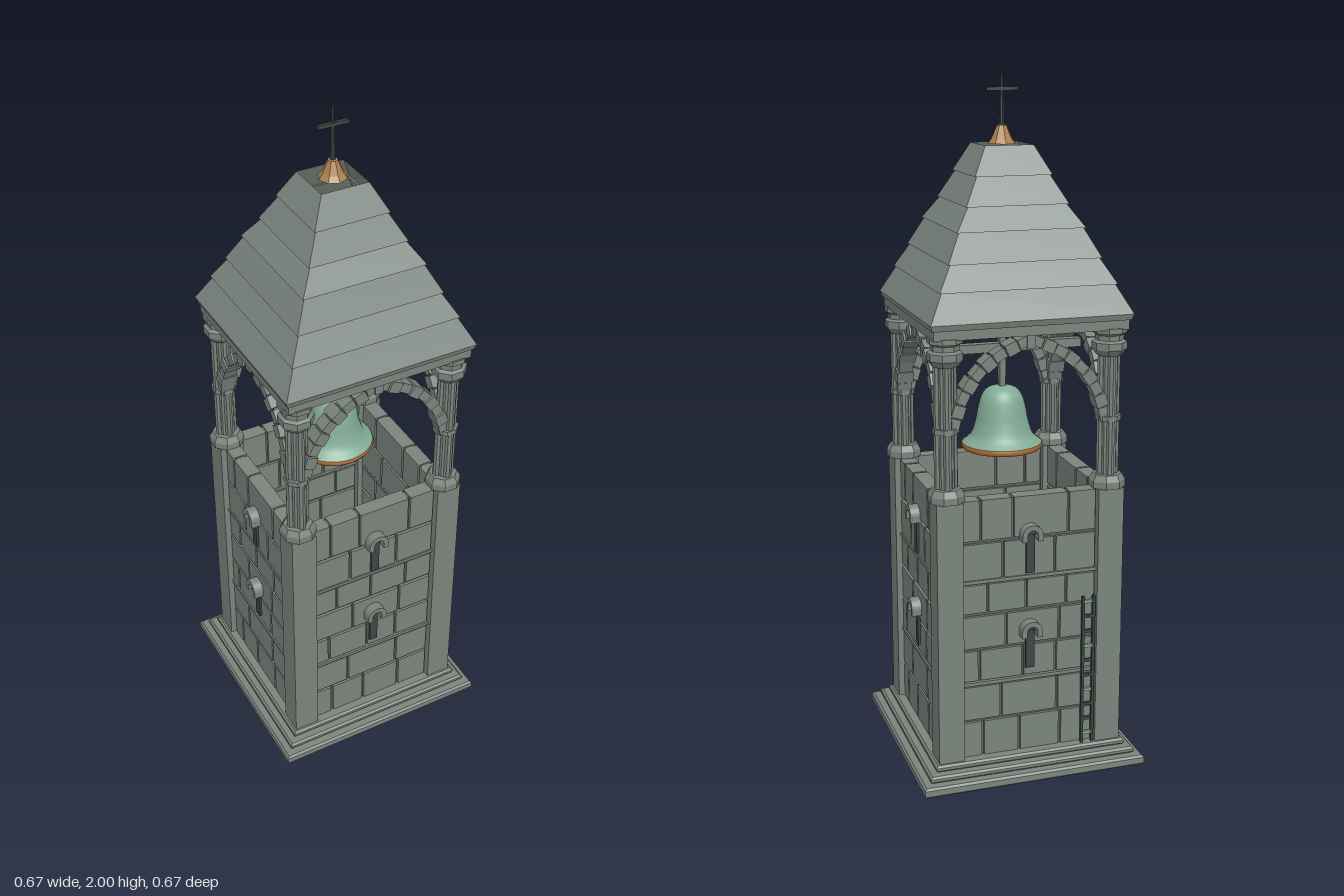
import * as THREE from 'three';

const mat = (name, color, extra = {}) => {
  const m = new THREE.MeshStandardMaterial({ color, ...extra });
  m.name = name;
  return m;
};

export function createModel() {
  const stone = mat('stone', 0x7b847d, { flatShading: true });
  const mortar = mat('mortar', 0x59625c, { flatShading: true });
  const slate = mat('roof slate', 0x7f8983, { flatShading: true, side: THREE.DoubleSide });
  const patina = mat('patina', 0x82ab97, { side: THREE.DoubleSide });
  const bronze = mat('bronze', 0xac8150, { flatShading: true });
  const rimCopper = mat('rim copper', 0xb0702f, { side: THREE.DoubleSide });
  const iron = mat('iron', 0x3d4543, { flatShading: true });

  const model = new THREE.Group();
  model.name = 'bellTower';

  const add = (parent, name, geo, material, x = 0, y = 0, z = 0) => {
    const m = new THREE.Mesh(geo, material);
    m.name = name;
    m.position.set(x, y, z);
    parent.add(m);
    return m;
  };
  // box given by its min and max corners
  const box = (parent, name, material, x0, x1, y0, y1, z0, z1) =>
    add(parent, name, new THREE.BoxGeometry(x1 - x0, y1 - y0, z1 - z0), material,
      (x0 + x1) / 2, (y0 + y1) / 2, (z0 + z1) / 2);
  const lathe = (pts, sides, phi = 0) =>
    new THREE.LatheGeometry(pts.map(([r, y]) => new THREE.Vector2(r, y)), sides, phi);
  // square-plan solid from [half width, y] points
  const square = (pts) => lathe(pts.map(([r, y]) => [r * Math.SQRT2, y]), 4, Math.PI / 4);
  const rod = (parent, name, material, r0, r1, y0, y1, x = 0, z = 0, sides = 8) =>
    add(parent, name, new THREE.CylinderGeometry(r1, r0, y1 - y0, sides), material, x, (y0 + y1) / 2, z);

  // stepped plinth with chamfered edges
  for (const [w, y0, y1] of [[0.335, 0, 0.03], [0.311, 0.03, 0.05], [0.288, 0.05, 0.07]]) {
    const b = 0.006;
    add(model, 'plinthStep', square([[0, y0], [w - b, y0], [w, y0 + b], [w, y1 - b], [w - b, y1], [0, y1]]), stone);
  }

  // masonry courses: [bottom, top, joint positions]
  const courses = [
    [0.07, 0.18, [-0.14, -0.03, 0.095]],
    [0.185, 0.29, [-0.085, 0.085]],
    [0.305, 0.4, [-0.15, -0.02, 0.08]],
    [0.405, 0.505, [-0.07, 0.09]],
    [0.512, 0.6, [-0.125, -0.01, 0.11]],
    [0.612, 0.722, [-0.08, 0.075]],
    [0.728, 0.85, [-0.145, -0.05, 0.115]],
  ];

  const half = 0.2, gap = 0.004;
  const hoodShape = new THREE.Shape();
  hoodShape.absarc(0, 0, 0.031, 0, Math.PI, false);
  hoodShape.absarc(0, 0, 0.016, Math.PI, 0, true);
  hoodShape.closePath();

  const makeSide = () => {
    const side = new THREE.Group();
    side.name = 'towerSide';
    // wall with raised blocks inside and out
    box(side, 'wallCore', mortar, -half, half, 0.07, 0.846, 0.222, 0.25);
    for (const [y0, y1, joints] of courses) {
      const edges = [-half, ...joints, half];
      for (let i = 0; i < edges.length - 1; i++) {
        box(side, 'wallBlock', stone, edges[i] + gap, edges[i + 1] - gap, y0 + 0.002, y1 - 0.002, 0.214, 0.259);
      }
    }
    for (const y of [0.293, 0.603]) box(side, 'stringCourse', stone, -half, half, y, y + 0.01, 0.214, 0.262);

    // arrow slits with hooded heads
    for (const y of [0.33, 0.62]) {
      box(side, 'slit', iron, -0.013, 0.013, y, y + 0.115, 0.259, 0.266);
      const hood = new THREE.ExtrudeGeometry(hoodShape, { depth: 0.034, bevelEnabled: false, curveSegments: 8 });
      add(side, 'slitHood', hood, stone, 0, y + 0.117, 0.254);
      add(side, 'slitHead', new THREE.CircleGeometry(0.017, 10, 0, Math.PI), iron, 0, y + 0.115, 0.264);
      for (const s of [-1, 1]) {
        box(side, 'hoodStop', stone, s * 0.0235 - 0.0075, s * 0.0235 + 0.0075, y + 0.1, y + 0.118, 0.254, 0.288);
      }
    }

    // pointed arch of voussoirs
    for (const s of [-1, 1]) {
      const curve = new THREE.CatmullRomCurve3(
        [[0.222, 1.05], [0.2, 1.125], [0.158, 1.195], [0.095, 1.25], [0, 1.295]]
          .map(([x, y]) => new THREE.Vector3(s * x, y, 0.24)));
      const n = 9;
      const len = curve.getLength() / n;
      for (let i = 0; i < n; i++) {
        const p = curve.getPointAt((i + 0.5) / n), t = curve.getTangentAt((i + 0.5) / n);
        const big = i % 2;
        const v = add(side, 'voussoir', new THREE.BoxGeometry(len * 0.92, big ? 0.034 : 0.028, big ? 0.05 : 0.042),
          stone, p.x, p.y, p.z);
        v.rotation.z = Math.atan2(t.y, t.x);
        const joint = add(side, 'archJoint', new THREE.BoxGeometry(len * 1.08, 0.02, 0.032), mortar, p.x, p.y, p.z);
        joint.rotation.z = v.rotation.z;
      }
    }
    box(side, 'archKeystone', stone, -0.012, 0.012, 1.27, 1.312, 0.214, 0.266);
    return side;
  };

  for (let k = 0; k < 4; k++) {
    const side = makeSide();
    side.rotation.y = k * Math.PI / 2;
    model.add(side);
  }

  // corner piers and clustered columns
  for (const sx of [-1, 1]) for (const sz of [-1, 1]) {
    const corner = new THREE.Group();
    corner.name = 'corner';
    corner.position.set(sx * 0.238, 0, sz * 0.238);
    model.add(corner);
    box(corner, 'pier', stone, -0.038, 0.038, 0.07, 0.85, -0.038, 0.038);
    const octagon = (name, pts) => add(corner, name, lathe(pts, 8, Math.PI / 8), stone);
    octagon('columnBase', [[0, 0.845], [0.052, 0.85], [0.052, 0.87], [0.042, 0.888], [0, 0.888]]);
    rod(corner, 'columnCore', stone, 0.026, 0.026, 0.88, 1.25);
    for (let i = 0; i < 4; i++) {
      const a = i * Math.PI / 2;
      rod(corner, 'columnShaft', stone, 0.012, 0.012, 0.88, 1.24, Math.cos(a) * 0.022, Math.sin(a) * 0.022);
    }
    octagon('columnRing', [[0, 1.045], [0.037, 1.045], [0.037, 1.06], [0, 1.06]]);
    octagon('capital', [[0, 1.232], [0.036, 1.232], [0.05, 1.25], [0.05, 1.27], [0.04, 1.276],
      [0.04, 1.29], [0.05, 1.297], [0.05, 1.312], [0, 1.312]]);
  }

  // eaves frame, open in the middle
  add(model, 'eavesFrame', square([[0.2, 1.308], [0.28, 1.308], [0.28, 1.335], [0.2, 1.335], [0.2, 1.308]]), stone);

  // hollow roof in overlapping tiers, open at the top
  const tierY = [1.352, 1.431, 1.5, 1.58, 1.643, 1.72, 1.8];
  const tierW = [0.29, 0.254, 0.22, 0.185, 0.148, 0.112, 0.07];
  const roof = [[0.2, 1.335], [0.284, 1.335]];
  for (let i = 0; i < 6; i++) {
    roof.push([tierW[i], tierY[i]], [tierW[i + 1] - (i < 5 ? 0.006 : 0), tierY[i + 1]]);
  }
  add(model, 'roof', square(roof), slate);

  // finial and cross
  add(model, 'finial', lathe([[0, 1.8], [0.041, 1.8], [0.03, 1.815], [0.014, 1.85], [0, 1.853]], 8), bronze);
  rod(model, 'crossPost', iron, 0.008, 0.004, 1.845, 2);
  box(model, 'crossArm', iron, -0.045, 0.045, 1.944, 1.954, -0.005, 0.005);

  // bell hung from its beam
  box(model, 'bellBeam', stone, -0.24, 0.24, 1.208, 1.234, -0.014, 0.014);
  box(model, 'bellHanger', stone, -0.009, 0.009, 1.09, 1.255, -0.01, 0.01);
  const bellProfile = new THREE.SplineCurve([[0.118, 0.936], [0.092, 0.96], [0.078, 1.0], [0.07, 1.04],
    [0.06, 1.075], [0.043, 1.097], [0.018, 1.106]].map(([r, y]) => new THREE.Vector2(r, y))).getPoints(24);
  bellProfile.push(new THREE.Vector2(0, 1.106));
  add(model, 'bell', new THREE.LatheGeometry(bellProfile, 32), patina);
  add(model, 'bellRim', lathe([[0.1, 0.938], [0.108, 0.921], [0.115, 0.921], [0.121, 0.93], [0.118, 0.938]], 32), rimCopper);
  rod(model, 'clapper', iron, 0.011, 0.011, 0.9, 0.935);
  rod(model, 'clapperRod', iron, 0.005, 0.005, 0.93, 1.1);

  // narrow ladder on the back wall
  for (const x of [-0.192, -0.16]) box(model, 'ladderRail', iron, x - 0.004, x + 0.004, 0.07, 0.53, -0.274, -0.264);
  for (let i = 0; i < 10; i++) {
    const y = 0.095 + i * 0.046;
    box(model, 'ladderRung', i % 3 ? iron : patina, -0.192, -0.16, y, y + 0.009, -0.272, -0.264);
  }
  return model;
}
